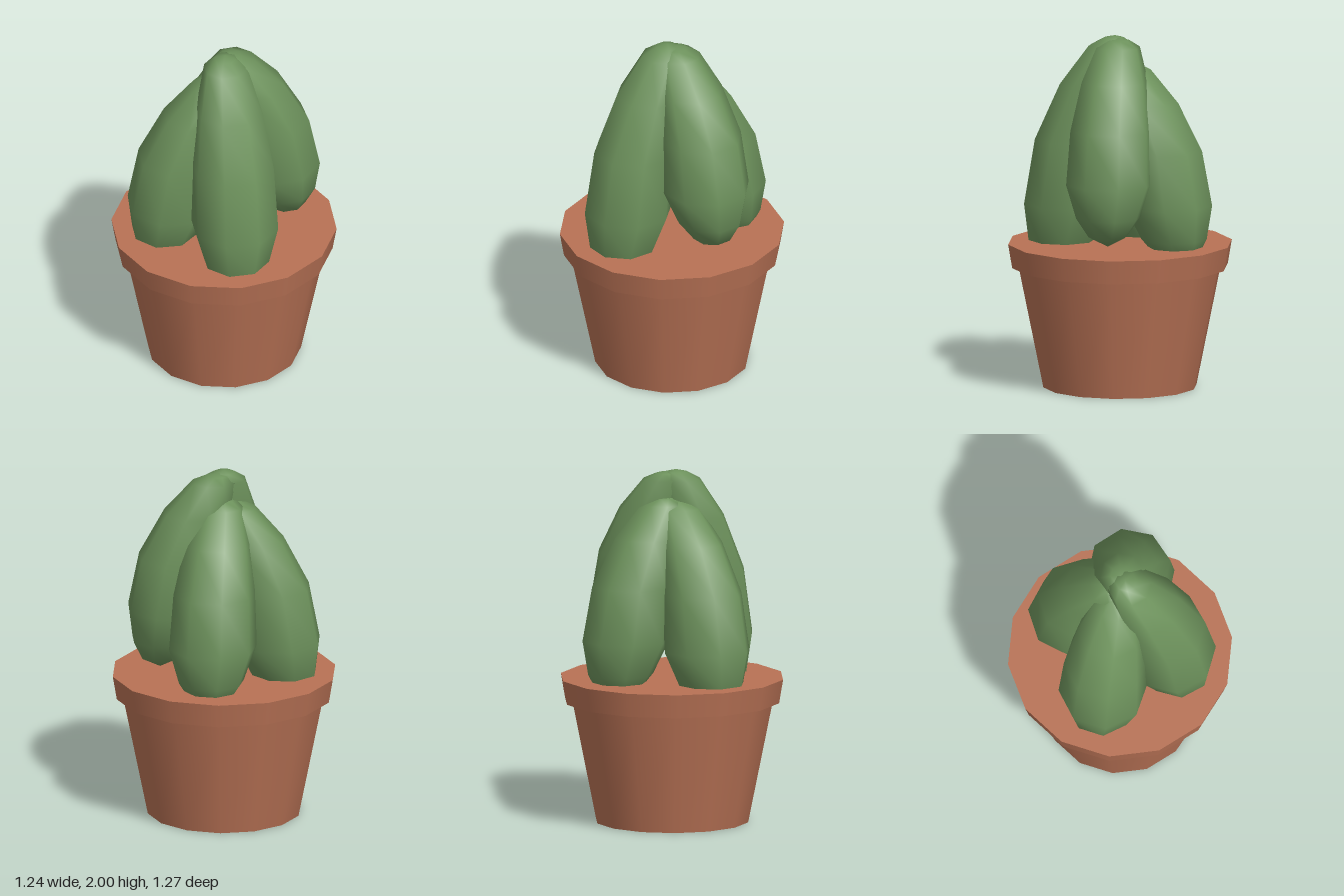
import * as THREE from 'three';

const green = new THREE.MeshStandardMaterial({ color: 0x6d925c });
const clay = new THREE.MeshStandardMaterial({ color: 0xb87255 });

// Lobe cross-sections: drop below the tip, outward shift of the centre, radius
const SECTIONS = [
  [0.015, 0.035, 0.06], [0.06, 0.055, 0.125], [0.28, 0.155, 0.19], [0.6, 0.255, 0.235],
  [0.97, 0.302, 0.25], [1.2, 0.34, 0.185], [1.33, 0.36, 0.11],
];
const SIDES = 8;

// A closed, leaning lobe; its outward direction is +z before turning
function lobeGeometry(stretch) {
  const pos = [0, 0, 0.03];
  const index = [];
  for (const [drop, out, r] of SECTIONS) {
    for (let i = 0; i < SIDES; i++) {
      const a = ((i + 0.5) / SIDES) * Math.PI * 2;
      pos.push(Math.sin(a) * r, -drop * stretch, out + Math.cos(a) * r);
    }
  }
  pos.push(0, -1.4 * stretch, 0.36);
  const last = pos.length / 3 - 1;
  for (let i = 0; i < SIDES; i++) {
    const j = (i + 1) % SIDES;
    index.push(0, 1 + i, 1 + j);
    for (let k = 0; k < SECTIONS.length - 1; k++) {
      const a = 1 + k * SIDES, b = a + SIDES;
      index.push(a + i, b + i, b + j, a + i, b + j, a + j);
    }
    const e = 1 + (SECTIONS.length - 1) * SIDES;
    index.push(e + i, last, e + j);
  }
  const g = new THREE.BufferGeometry();
  g.setAttribute('position', new THREE.Float32BufferAttribute(pos, 3));
  g.setIndex(index);
  g.computeVertexNormals();
  return g;
}

function potPart(name, rTop, rBottom, y0, y1) {
  const m = new THREE.Mesh(new THREE.CylinderGeometry(rTop, rBottom, y1 - y0, 14), clay);
  m.name = name;
  m.position.y = (y0 + y1) / 2;
  return m;
}

export function createModel() {
  const model = new THREE.Group();
  model.name = 'pottedCactus';

  // Pot: tapered body and overhanging rim
  const pot = new THREE.Group();
  pot.name = 'pot';
  pot.add(potPart('potBody', 0.575, 0.435, 0, 0.69), potPart('potRim', 0.635, 0.612, 0.685, 0.82));
  model.add(pot);

  // Cactus: four lobes leaning together (name, heading in degrees, tip height, stretch)
  const cactus = new THREE.Group();
  cactus.name = 'cactus';
  const lobes = [
    ['frontLobe', -23, 2.0, 1], ['leftLobe', 71, 1.99, 0.81],
    ['backLobe', 145, 1.86, 0.83], ['rightLobe', -116, 1.84, 0.86],
  ];
  for (const [name, heading, top, stretch] of lobes) {
    const m = new THREE.Mesh(lobeGeometry(stretch), green);
    m.name = name;
    m.position.y = top;
    m.rotation.y = THREE.MathUtils.degToRad(heading);
    cactus.add(m);
  }
  model.add(cactus);
  return model;
}
